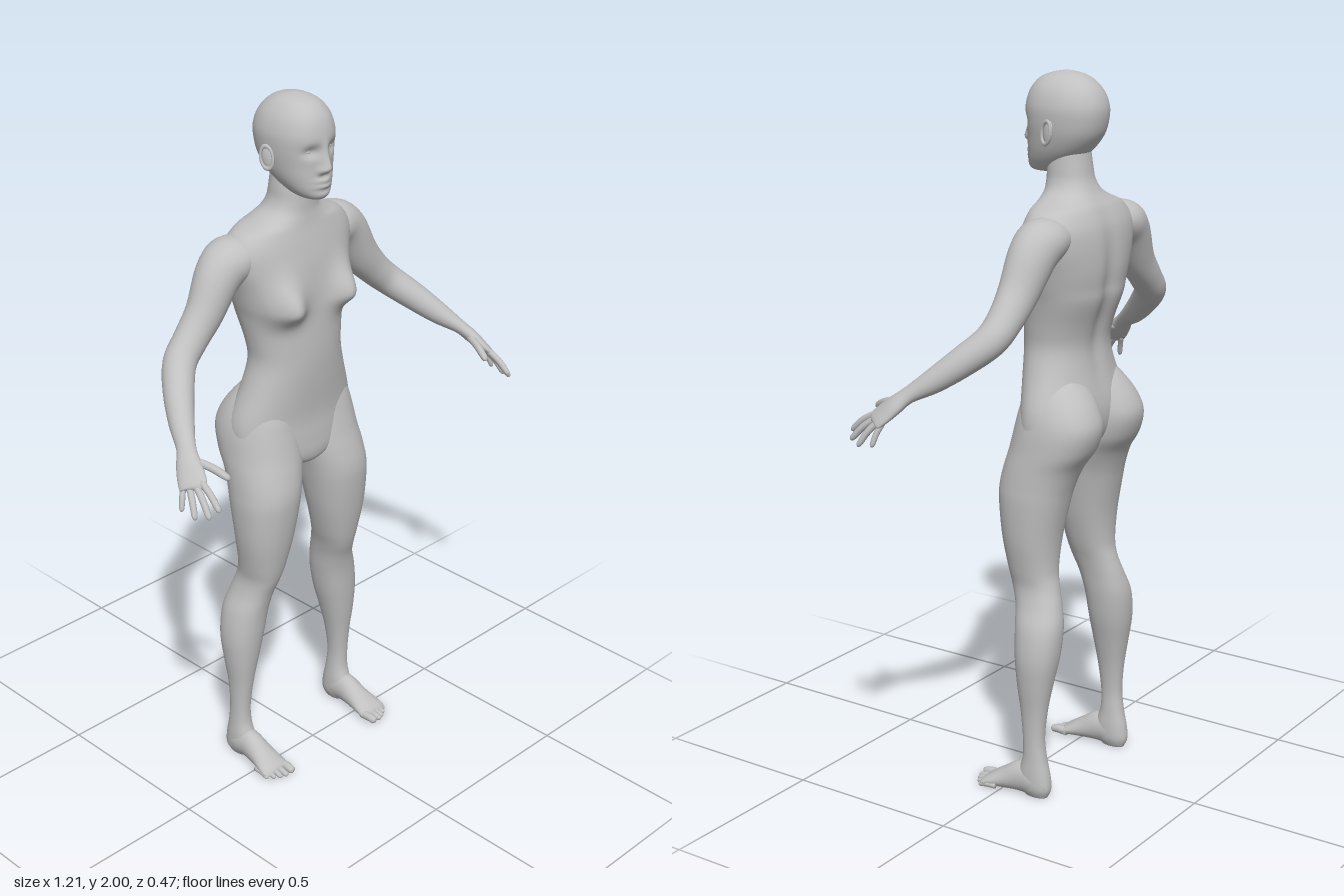
import * as THREE from 'three';

const skin = new THREE.MeshStandardMaterial({ color: 0xc0c0c0 });
skin.name = 'grey skin';

const gauss = (d, s) => Math.exp(-0.5 * (d / s) ** 2);

// Smoothly adds in-between rows to a short list of cross-sections
function refine(rows, steps) {
  const out = [];
  const last = rows.length - 1;
  for (let i = 0; i < last; i++) {
    const a = rows[Math.max(i - 1, 0)], b = rows[i], c = rows[i + 1], d = rows[Math.min(i + 2, last)];
    for (let k = 0; k < steps; k++) {
      const t = k / steps;
      out.push(b.map((v, j) => {
        const m0 = (c[j] - a[j]) / 2, m1 = (d[j] - v) / 2;
        return v + m0 * t + (3 * (c[j] - v) - 2 * m0 - m1) * t * t + (2 * (v - c[j]) + m0 + m1) * t * t * t;
      }));
    }
  }
  out.push(rows[last]);
  return out;
}

// Turns the faces outward, whatever order the rings came in
function orient(geo) {
  const p = geo.attributes.position, ix = geo.index.array;
  const a = new THREE.Vector3(), b = new THREE.Vector3(), c = new THREE.Vector3();
  let volume = 0;
  for (let i = 0; i < ix.length; i += 3) {
    a.fromBufferAttribute(p, ix[i]);
    b.fromBufferAttribute(p, ix[i + 1]);
    c.fromBufferAttribute(p, ix[i + 2]);
    volume += a.dot(b.cross(c));
  }
  if (volume < 0) for (let i = 0; i < ix.length; i += 3) [ix[i], ix[i + 1]] = [ix[i + 1], ix[i]];
  geo.computeVertexNormals();
  return geo;
}

// Skins a closed surface over rings of points
function skinRings(rings) {
  const n = rings[0].length, pos = [], index = [];
  rings.forEach((r) => r.forEach((v) => pos.push(v.x, v.y, v.z)));
  for (let i = 0; i < rings.length - 1; i++) {
    for (let j = 0; j < n; j++) {
      const a = i * n + j, b = i * n + (j + 1) % n;
      index.push(a, b, a + n, b, b + n, a + n);
    }
  }
  [0, rings.length - 1].forEach((i) => {
    const mid = new THREE.Vector3();
    rings[i].forEach((v) => mid.addScaledVector(v, 1 / n));
    const m = pos.length / 3;
    pos.push(mid.x, mid.y, mid.z);
    for (let j = 0; j < n; j++) {
      const a = i * n + j, b = i * n + (j + 1) % n;
      if (i) index.push(a, b, m); else index.push(b, a, m);
    }
  });
  const geo = new THREE.BufferGeometry();
  geo.setAttribute('position', new THREE.Float32BufferAttribute(pos, 3));
  geo.setIndex(index);
  return orient(geo);
}

// Level sections: [y, xMin, xMax, zBack, zFront]; the rule returns a push along z
function levelLoft(rows, { n = 48, steps = 4, power = 2.2, rule } = {}) {
  return skinRings(refine(rows, steps).map(([y, x0, x1, z0, z1]) =>
    Array.from({ length: n }, (_, j) => {
      const t = j / n * Math.PI * 2, c = Math.cos(t), s = Math.sin(t);
      const bend = (v) => Math.sign(v) * Math.abs(v) ** (2 / power);
      const p = new THREE.Vector3((x0 + x1) / 2 + bend(c) * (x1 - x0) / 2, y, (z0 + z1) / 2 + bend(s) * (z1 - z0) / 2);
      if (rule) p.z += rule(p.x, y, s);
      return p;
    })));
}

// Sections across a path: [x, y, z, thickness, width], width lying along ref
function pathLoft(rows, ref, n = 24, steps = 4) {
  const fine = refine(rows, steps);
  const at = (i) => new THREE.Vector3(...fine[Math.min(Math.max(i, 0), fine.length - 1)].slice(0, 3));
  return skinRings(fine.map(([, , , a, b], i) => {
    const dir = at(i + 1).sub(at(i - 1)).normalize();
    const wide = ref.clone().addScaledVector(dir, -ref.dot(dir)).normalize();
    const thick = new THREE.Vector3().crossVectors(dir, wide);
    return Array.from({ length: n }, (_, j) => {
      const t = j / n * Math.PI * 2;
      return at(i).addScaledVector(thick, Math.sin(t) * a).addScaledVector(wide, Math.cos(t) * b);
    });
  }));
}

// Finger or toe: a tapered, slightly bent tube with a round tip
function digit(base, tip, r, lift, ref) {
  const rows = [[0, 1], [0.5, 1], [0.85, 0.9], [0.96, 0.65], [1, 0.15]].map(([t, k]) => {
    const p = base.map((v, i) => v + (tip[i] - v) * t);
    p[1] += lift * Math.sin(Math.PI * t);
    return [...p, r * k, r * k];
  });
  return pathLoft(rows, ref, 12, 3);
}

export function createModel() {
  const model = new THREE.Group();
  const add = (name, geo) => {
    const mesh = new THREE.Mesh(geo, skin);
    mesh.name = name;
    model.add(mesh);
  };
  const addPair = (name, geo) => {
    add('left' + name, geo);
    add('right' + name, orient(geo.clone().scale(-1, 1, 1)));
  };
  const even = ([y, w, z0, z1]) => [y, -w, w, z0, z1];

  // Torso and neck, with chest and spine shaped by rule
  add('torso', levelLoft([
    [0.93, 0.012, -0.08, -0.04], [0.95, 0.06, -0.11, 0], [0.98, 0.15, -0.15, 0.012], [1.03, 0.2, -0.185, 0.012],
    [1.1, 0.203, -0.195, 0.01], [1.2, 0.166, -0.175, 0.02], [1.27, 0.146, -0.168, 0.025], [1.33, 0.15, -0.18, 0.025],
    [1.4, 0.163, -0.205, 0.022], [1.44, 0.174, -0.21, 0.02], [1.49, 0.188, -0.215, 0.017], [1.55, 0.208, -0.213, 0.01],
    [1.6, 0.21, -0.205, 0], [1.643, 0.175, -0.187, -0.01], [1.665, 0.122, -0.172, -0.014], [1.687, 0.083, -0.157, -0.017],
    [1.715, 0.066, -0.144, -0.018], [1.75, 0.061, -0.137, -0.02], [1.8, 0.055, -0.13, -0.03],
  ].map(even), {
    n: 96, steps: 5,
    rule: (x, y, s) => s > 0
      ? 0.056 * gauss(Math.abs(x) - 0.108, 0.036) * gauss(y - 1.44, y > 1.44 ? 0.05 : 0.03) * Math.min(1, s * 2)
      : 0.014 * gauss(x, 0.022) * gauss(y - 1.4, 0.13),
  }));

  // Head, with the face shaped by rule
  add('head', levelLoft([
    [1.73, 0.012, -0.03, 0.025], [1.737, 0.035, -0.055, 0.038], [1.757, 0.056, -0.09, 0.043], [1.79, 0.074, -0.135, 0.042],
    [1.83, 0.086, -0.168, 0.041], [1.87, 0.092, -0.182, 0.045], [1.91, 0.092, -0.184, 0.045], [1.95, 0.079, -0.168, 0.033],
    [1.98, 0.055, -0.138, 0.007], [1.994, 0.03, -0.105, -0.028], [2, 0.004, -0.072, -0.062],
  ].map(even), {
    n: 120, steps: 8,
    rule: (x, y, s) => {
      if (s <= 0) return 0;
      const ax = Math.abs(x);
      return 0.024 * gauss(x, 0.011) * gauss(y - 1.82, y > 1.82 ? 0.02 : 0.008)
        + 0.008 * gauss(ax - 0.014, 0.006) * gauss(y - 1.815, 0.007)
        + 0.008 * gauss(x, 0.01) * gauss(y - 1.86, 0.02)
        - 0.013 * gauss(ax - 0.036, 0.016) * gauss(y - 1.867, 0.011)
        + 0.009 * gauss(x, 0.018) * (gauss(y - 1.787, 0.005) + gauss(y - 1.772, 0.005))
        + 0.005 * gauss(x, 0.02) * gauss(y - 1.748, 0.008);
    },
  }));
  addPair('Eye', new THREE.SphereGeometry(0.015, 24, 16).scale(1.05, 0.7, 1).translate(0.036, 1.866, 0.011));

  // Ears: a flat shell with a raised rim
  const placeEar = (geo) => geo.rotateY(-0.35).rotateX(-0.15).translate(0.094, 1.845, -0.07);
  addPair('Ear', placeEar(new THREE.SphereGeometry(1, 24, 16).scale(0.008, 0.032, 0.018)));
  addPair('EarRim', placeEar(new THREE.TorusGeometry(0.02, 0.004, 10, 32).rotateY(Math.PI / 2).scale(1, 1.5, 0.9).translate(0.007, 0, 0)));

  // Arms, running through the wrist into the palm
  const across = new THREE.Vector3(-0.45, 0.1, 0.9);
  addPair('Arm', pathLoft([
    [0.11, 1.588, -0.11, 0.035, 0.06], [0.185, 1.578, -0.115, 0.062, 0.072], [0.235, 1.543, -0.115, 0.065, 0.063],
    [0.29, 1.458, -0.11, 0.056, 0.051], [0.345, 1.397, -0.107, 0.048, 0.046], [0.395, 1.35, -0.095, 0.044, 0.045],
    [0.445, 1.3, -0.045, 0.04, 0.041], [0.49, 1.25, 0.015, 0.032, 0.034], [0.525, 1.212, 0.07, 0.02, 0.026],
    [0.545, 1.185, 0.1, 0.019, 0.033], [0.56, 1.16, 0.127, 0.015, 0.038], [0.57, 1.143, 0.146, 0.011, 0.036],
    [0.573, 1.138, 0.15, 0.003, 0.02],
  ], across, 40, 5));

  // Fingers from thumb to little finger: [knuckle, tip, radius]
  [
    [[0.532, 1.19, 0.1], [0.494, 1.157, 0.2], 0.011],
    [[0.553, 1.156, 0.157], [0.56, 1.1, 0.232], 0.0095],
    [[0.563, 1.148, 0.146], [0.582, 1.082, 0.218], 0.0095],
    [[0.572, 1.143, 0.132], [0.599, 1.074, 0.182], 0.009],
    [[0.577, 1.143, 0.115], [0.602, 1.08, 0.134], 0.008],
  ].forEach(([base, tip, r], i) => addPair(i ? 'Finger' + i : 'Thumb', digit(base, tip, r, 0.007, across)));

  // Legs, from the rounded hips down to the heel
  addPair('Leg', levelLoft([
    [0.004, 0.182, 0.222, -0.14, -0.07], [0.03, 0.171, 0.234, -0.15, -0.05], [0.07, 0.17, 0.235, -0.146, -0.05],
    [0.12, 0.174, 0.232, -0.135, -0.065], [0.18, 0.176, 0.231, -0.129, -0.066], [0.26, 0.166, 0.235, -0.135, -0.058],
    [0.34, 0.148, 0.245, -0.148, -0.047], [0.42, 0.128, 0.25, -0.162, -0.038], [0.5, 0.115, 0.238, -0.165, -0.03],
    [0.56, 0.108, 0.214, -0.153, -0.018], [0.61, 0.098, 0.202, -0.138, 0], [0.66, 0.083, 0.208, -0.128, 0.013],
    [0.75, 0.06, 0.222, -0.133, 0.03], [0.85, 0.04, 0.228, -0.152, 0.042], [0.9, 0.03, 0.226, -0.165, 0.042],
    [0.95, 0.016, 0.222, -0.185, 0.033], [1, 0.003, 0.217, -0.218, 0.021], [1.06, 0, 0.21, -0.235, 0.008],
    [1.11, 0.003, 0.196, -0.22, -0.003], [1.16, 0.012, 0.168, -0.186, -0.02], [1.21, 0.05, 0.12, -0.14, -0.06],
  ], { n: 56, steps: 5 }));

  // Feet and toes
  const sideways = new THREE.Vector3(1, 0, 0);
  addPair('Foot', pathLoft([
    [0.203, 0.032, -0.14, 0.018, 0.02], [0.203, 0.046, -0.105, 0.042, 0.033], [0.203, 0.05, -0.06, 0.046, 0.034],
    [0.204, 0.036, -0.01, 0.033, 0.038], [0.206, 0.024, 0.03, 0.021, 0.045], [0.207, 0.016, 0.055, 0.013, 0.045],
    [0.207, 0.014, 0.064, 0.004, 0.03],
  ], sideways, 32, 5));
  [[0.173, 0.095, 0.0125], [0.196, 0.094, 0.009], [0.213, 0.087, 0.0085], [0.229, 0.077, 0.008], [0.244, 0.063, 0.008]]
    .forEach(([x, z, r], i) => addPair('Toe' + (i + 1), digit([x, 0.016, z - 0.055], [x + 0.002, r + 0.001, z], r, 0.003, sideways)));

  return model;
}
